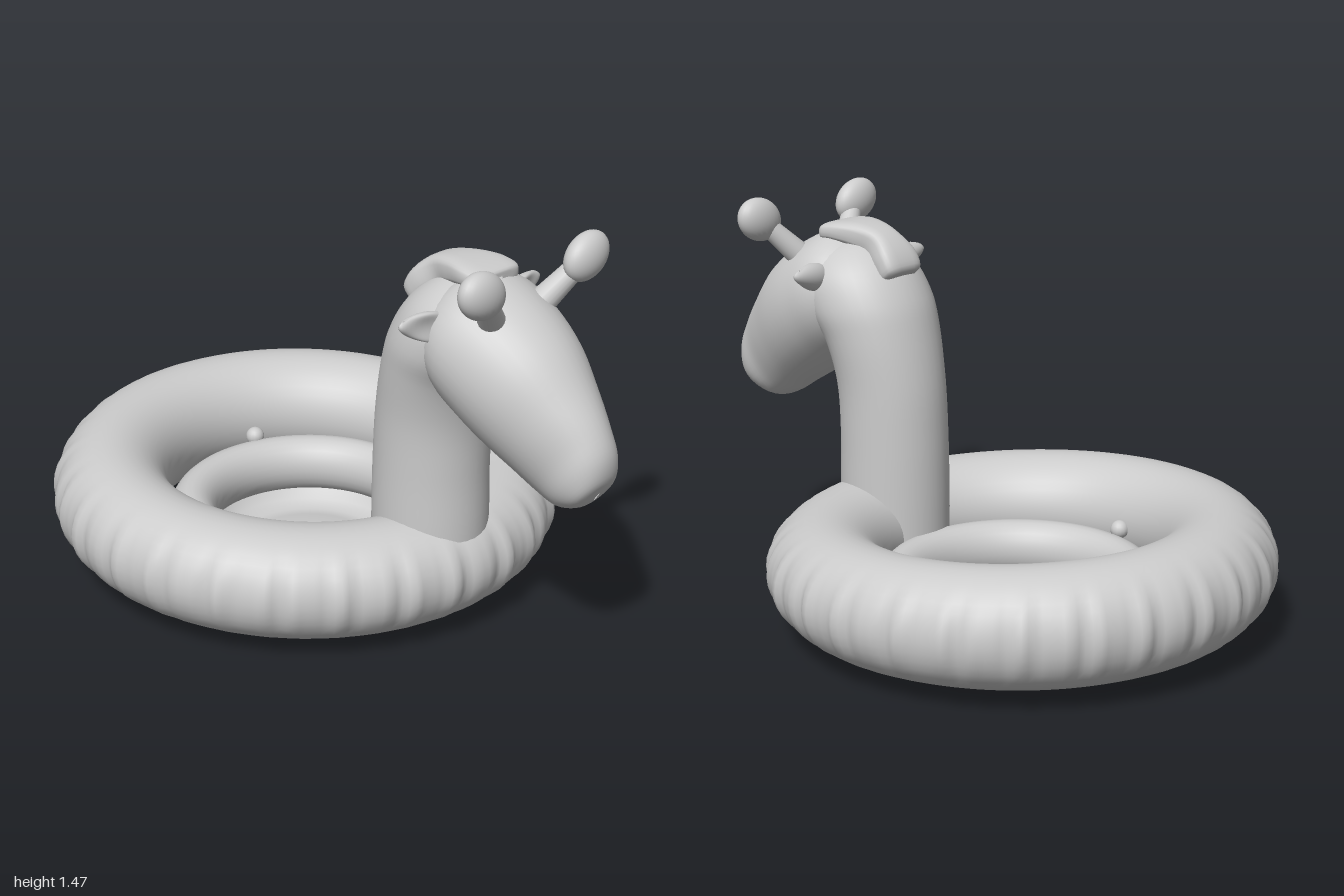
import * as THREE from 'three';

const grey = new THREE.MeshStandardMaterial({ color: 0xcccccc, side: THREE.DoubleSide });

function add(parent, name, geometry, x = 0, y = 0, z = 0) {
  const mesh = new THREE.Mesh(geometry, grey);
  mesh.name = name;
  mesh.position.set(x, y, z);
  parent.add(mesh);
  return mesh;
}

// Smooth skin through sections [topZ, topY, bottomZ, bottomY, halfWidth];
// power < 1 makes the sections boxier.
function loft(sections, rows = 40, sides = 36, power = 1) {
  const top = new THREE.CatmullRomCurve3(sections.map(s => new THREE.Vector3(s[4], s[1], s[0])));
  const bottom = new THREE.CatmullRomCurve3(sections.map(s => new THREE.Vector3(s[4], s[3], s[2])));
  const bend = v => Math.sign(v) * Math.abs(v) ** power;
  const positions = [], index = [];
  for (let i = 0; i <= rows; i++) {
    const a = top.getPoint(i / rows), b = bottom.getPoint(i / rows);
    for (let j = 0; j < sides; j++) {
      const angle = (j / sides) * Math.PI * 2;
      const k = (1 + bend(Math.sin(angle))) / 2;
      positions.push(bend(Math.cos(angle)) * Math.max(a.x, 0), b.y + (a.y - b.y) * k, b.z + (a.z - b.z) * k);
      if (i < rows) {
        const n = (j + 1) % sides, p = i * sides, q = p + sides;
        index.push(p + j, p + n, q + j, p + n, q + n, q + j);
      }
    }
  }
  const g = new THREE.BufferGeometry();
  g.setAttribute('position', new THREE.Float32BufferAttribute(positions, 3));
  g.setIndex(index);
  g.computeVertexNormals();
  return g;
}

// Inflated ring: taller at the back right, puckered along its outer seam
function ringGeometry() {
  const positions = [], index = [], around = 240, sides = 36;
  for (let i = 0; i < around; i++) {
    const a = (i / around) * Math.PI * 2;
    const lean = (Math.cos(a) + Math.sin(a)) / Math.SQRT2;
    const pucker = 0.008 * Math.sin(a * 41) + 0.005 * Math.sin(a * 67 + 1);
    for (let j = 0; j < sides; j++) {
      const b = (j / sides) * Math.PI * 2;
      const outer = Math.max(0, Math.cos(b)) ** 4;
      const r = 0.71 + 0.207 * Math.cos(b) + pucker * outer;
      const y = 0.25 - 0.02 * lean + (0.205 - 0.01 * lean) * Math.sin(b);
      positions.push(r * Math.cos(a), y, r * Math.sin(a));
      const n = (j + 1) % sides, p = i * sides, q = ((i + 1) % around) * sides;
      index.push(p + j, p + n, q + j, p + n, q + n, q + j);
    }
  }
  const g = new THREE.BufferGeometry();
  g.setAttribute('position', new THREE.Float32BufferAttribute(positions, 3));
  g.setIndex(index);
  g.computeVertexNormals();
  return g;
}

// Stalk between two points
function stalk(parent, name, from, to, r0, r1) {
  const a = new THREE.Vector3(...from), b = new THREE.Vector3(...to);
  const mesh = add(parent, name, new THREE.CylinderGeometry(r1, r0, a.distanceTo(b), 20));
  mesh.position.copy(a).lerp(b, 0.5);
  mesh.quaternion.setFromUnitVectors(new THREE.Vector3(0, 1, 0), b.sub(a).normalize());
}

export function createModel() {
  const model = new THREE.Group();
  model.name = 'giraffeSwimRing';

  const float = new THREE.Group();
  float.name = 'float';
  float.position.set(-0.05, 0, -0.085);
  model.add(float);
  add(float, 'outerRing', ringGeometry());

  // Inner ring with the floor sheet below it
  const tube = new THREE.TorusGeometry(0.43, 0.09, 24, 80).rotateX(Math.PI / 2).scale(1, 1.2, 1);
  add(float, 'innerRing', tube, 0.015, 0.14, 0.01);
  const floor = [[0, 0.03], [0.15, 0.025], [0.25, 0.005], [0.3, 0], [0.35, 0.02], [0.38, 0.06], [0.4, 0.09]];
  add(float, 'floor', new THREE.LatheGeometry(floor.map(p => new THREE.Vector2(...p)), 80), 0.015, 0, 0.01);

  // Small valves inside the ring
  for (const [x, z] of [[-0.2, -0.42], [-0.39, 0.3]])
    add(float, 'valve', new THREE.SphereGeometry(0.035, 16, 12), x, 0.25, z);

  // Animal, built facing +z and then turned to the front left
  const animal = new THREE.Group();
  animal.name = 'giraffe';
  animal.rotation.y = Math.PI / 4;
  model.add(animal);

  add(animal, 'neck', loft([
    [0.35, 0.2, 0.77, 0.2, 0.2],
    [0.35, 0.4, 0.77, 0.4, 0.2],
    [0.355, 0.6, 0.765, 0.6, 0.2],
    [0.37, 0.8, 0.775, 0.8, 0.205],
    [0.41, 1.0, 0.82, 0.95, 0.225],
    [0.45, 1.12, 0.9, 1.05, 0.24],
    [0.53, 1.24, 0.95, 1.15, 0.22],
    [0.64, 1.315, 0.95, 1.22, 0.15],
    [0.78, 1.33, 0.9, 1.28, 0.01],
  ]));

  add(animal, 'head', loft([
    [0.68, 1.2, 0.66, 1.1, 0.02],
    [0.7, 1.31, 0.66, 0.97, 0.19],
    [0.81, 1.345, 0.72, 0.9, 0.245],
    [0.96, 1.29, 0.81, 0.83, 0.245],
    [1.1, 1.19, 0.9, 0.77, 0.22],
    [1.21, 1.06, 1.0, 0.71, 0.175],
    [1.29, 0.95, 1.08, 0.66, 0.135],
    [1.33, 0.86, 1.16, 0.635, 0.115],
    [1.33, 0.78, 1.24, 0.655, 0.08],
    [1.3, 0.72, 1.28, 0.69, 0.005],
  ]));

  // Tuft lying over the back of the head
  add(animal, 'mane', loft([
    [0.51, 1.2, 0.52, 1.19, 0.01],
    [0.48, 1.24, 0.55, 1.18, 0.085],
    [0.51, 1.3, 0.58, 1.23, 0.09],
    [0.58, 1.36, 0.64, 1.27, 0.07],
    [0.67, 1.385, 0.69, 1.29, 0.085],
    [0.77, 1.385, 0.78, 1.31, 0.11],
    [0.84, 1.37, 0.84, 1.31, 0.1],
    [0.85, 1.345, 0.85, 1.335, 0.01],
  ], 30, 28, 0.6));

  for (const side of [-1, 1]) {
    // Horns with flattened knobs
    stalk(animal, 'hornStalk', [side * 0.1, 1.22, 0.91], [side * 0.23, 1.37, 0.99], 0.05, 0.035);
    const knob = add(animal, 'hornKnob', new THREE.SphereGeometry(1, 28, 20), side * 0.255, 1.39, 0.995);
    knob.scale.set(0.1, 0.08, 0.055);
    knob.rotation.z = side * 0.4;

    // Leaf-shaped ears with a hollowed front
    const ear = new THREE.SphereGeometry(1, 28, 20);
    const p = ear.attributes.position;
    for (let i = 0; i < p.count; i++) {
      const x = p.getX(i), y = p.getY(i), z = p.getZ(i);
      const taper = 1 - 0.25 * x * side;
      const hollow = z > 0 ? 0.9 * (1 - x * x) * (1 - y * y) : 0;
      p.setXYZ(i, x * 0.11, y * 0.052 * taper + 0.02 * x * side, (z - hollow) * 0.045 * taper);
    }
    ear.computeVertexNormals();
    add(animal, 'ear', ear, side * 0.235, 1.205, 0.745).rotation.y = side * 0.2;
  }
  return model;
}
